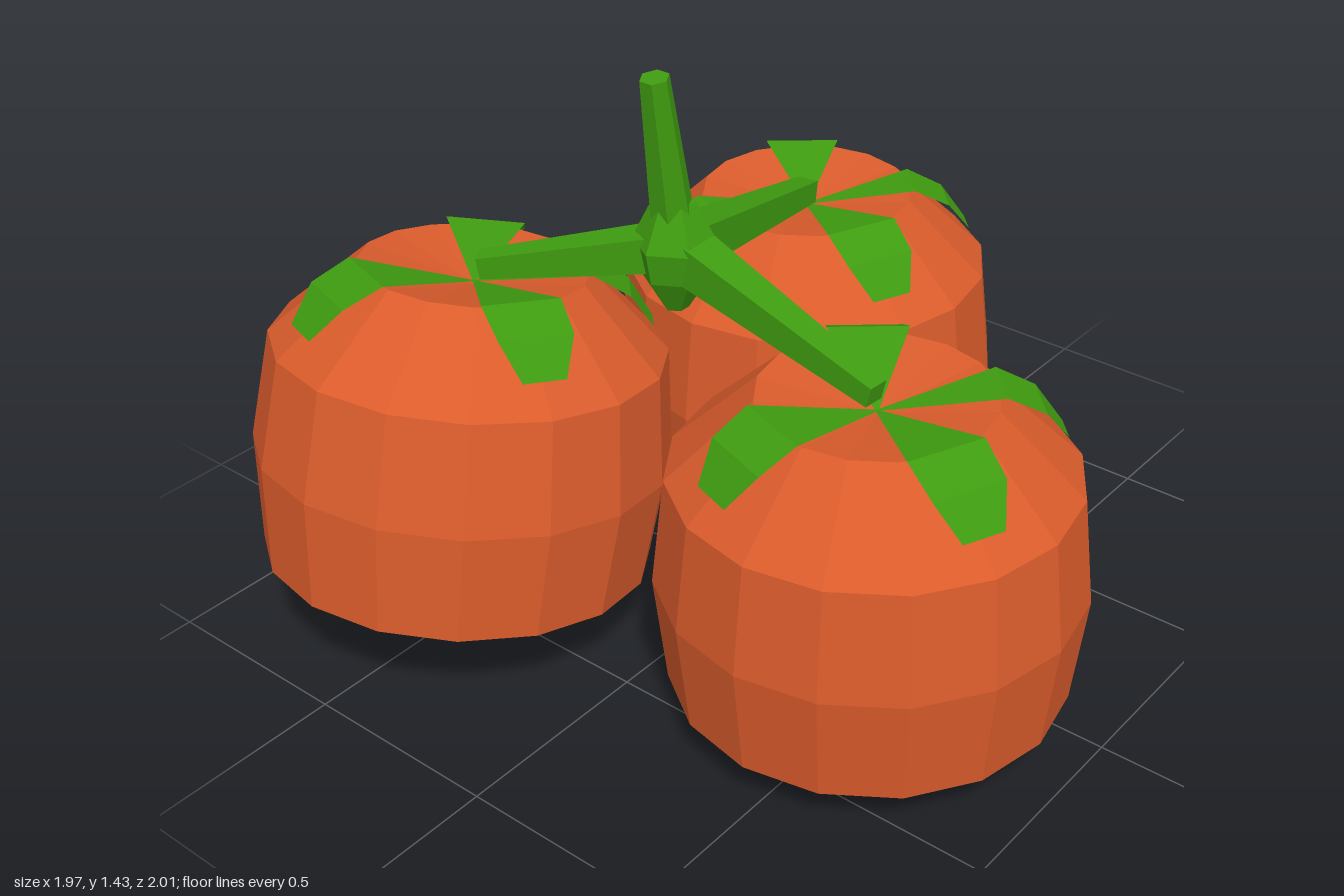
import * as THREE from 'three';

export function createModel() {
  const root = new THREE.Group();
  root.name = 'tomatoesOnVine';
  const red = new THREE.MeshStandardMaterial({ color: 0xdb5c2c, flatShading: true });
  red.name = 'tomato red';
  const green = new THREE.MeshStandardMaterial({ color: 0x3f9c10, flatShading: true, side: THREE.DoubleSide });
  green.name = 'vine green';

  const add = (parent, geometry, material, name) => {
    const mesh = new THREE.Mesh(geometry, material);
    mesh.name = name;
    parent.add(mesh);
    return mesh;
  };
  const lathe = (profile, sides) =>
    new THREE.LatheGeometry(profile.map(([r, y]) => new THREE.Vector2(r, y)), sides);

  // Fruit body with dimples at both ends
  const fruit = lathe([[0, 0.05], [0.268, 0], [0.465, 0.12], [0.495, 0.39],
    [0.465, 0.655], [0.268, 0.845], [0, 0.795]], 16);

  // Leaf that widens from the centre, then bends down over the shoulder
  function leafGeometry(width) {
    const rows = [[0, 0.803, 0.004], [0.27, 0.857, 0.095], [0.36, 0.81, 0.09], [0.42, 0.73, 0.052]];
    const pos = [], index = [];
    rows.forEach(([r, y, w], i) => {
      pos.push(r, y, w * width, r, y, -w * width);
      if (i) {
        const k = 2 * i;
        index.push(k - 2, k, k - 1, k, k + 1, k - 1);
      }
    });
    const g = new THREE.BufferGeometry();
    g.setAttribute('position', new THREE.Float32BufferAttribute(pos, 3));
    g.setIndex(index);
    g.computeVertexNormals();
    return g;
  }
  const leaves = [[130, 1], [44, 0.7], [-23, 1], [-109, 1]]; // angle, width

  // Three tomatoes, the front one raised and tilted back
  const tomatoes = [
    ['leftTomato', 0.485, 0, 0.2, 0],
    ['backTomato', -0.24, 0, -0.505, 0],
    ['frontTomato', -0.49, 0.1, 0.569, -0.167],
  ];
  for (const [name, x, y, z, tilt] of tomatoes) {
    const tomato = new THREE.Group();
    tomato.name = name;
    tomato.position.set(x, y, z);
    tomato.rotation.x = tilt;
    add(tomato, fruit, red, 'fruit');
    for (const [angle, width] of leaves) {
      add(tomato, leafGeometry(width), green, 'leaf').rotation.y = THREE.MathUtils.degToRad(angle);
    }
    root.add(tomato);
  }

  // Tapered bar between two points, half-widths h0 and h1
  function bar(name, from, to, h0, h1, sides = 4) {
    const a = new THREE.Vector3(...from), b = new THREE.Vector3(...to);
    const k = 1 / Math.cos(Math.PI / sides);
    const g = new THREE.CylinderGeometry(h1 * k, h0 * k, a.distanceTo(b), sides);
    g.rotateY(Math.PI / sides);
    g.rotateX(Math.PI / 2);
    const mesh = add(vine, g, green, name);
    mesh.position.copy(a).lerp(b, 0.5);
    mesh.lookAt(b);
  }

  // Vine: hub, upright stem and a branch to each tomato
  const vine = new THREE.Group();
  vine.name = 'vine';
  root.add(vine);
  add(vine, lathe([[0, 0.83], [0.03, 0.84], [0.085, 0.93], [0.1, 1.01], [0.05, 1.11], [0, 1.11]], 6),
    green, 'hub').position.set(-0.11, 0, 0.165);
  bar('stem', [-0.11, 1.05, 0.168], [-0.11, 1.425, 0.22], 0.046, 0.03, 6);
  bar('leftBranch', [-0.08, 0.99, 0.165], [0.485, 0.847, 0.205], 0.05, 0.026);
  bar('backBranch', [-0.115, 0.985, 0.15], [-0.24, 0.843, -0.505], 0.052, 0.028);
  bar('frontBranch', [-0.12, 0.995, 0.175], [-0.485, 0.93, 0.42], 0.046, 0.026);

  return root;
}
